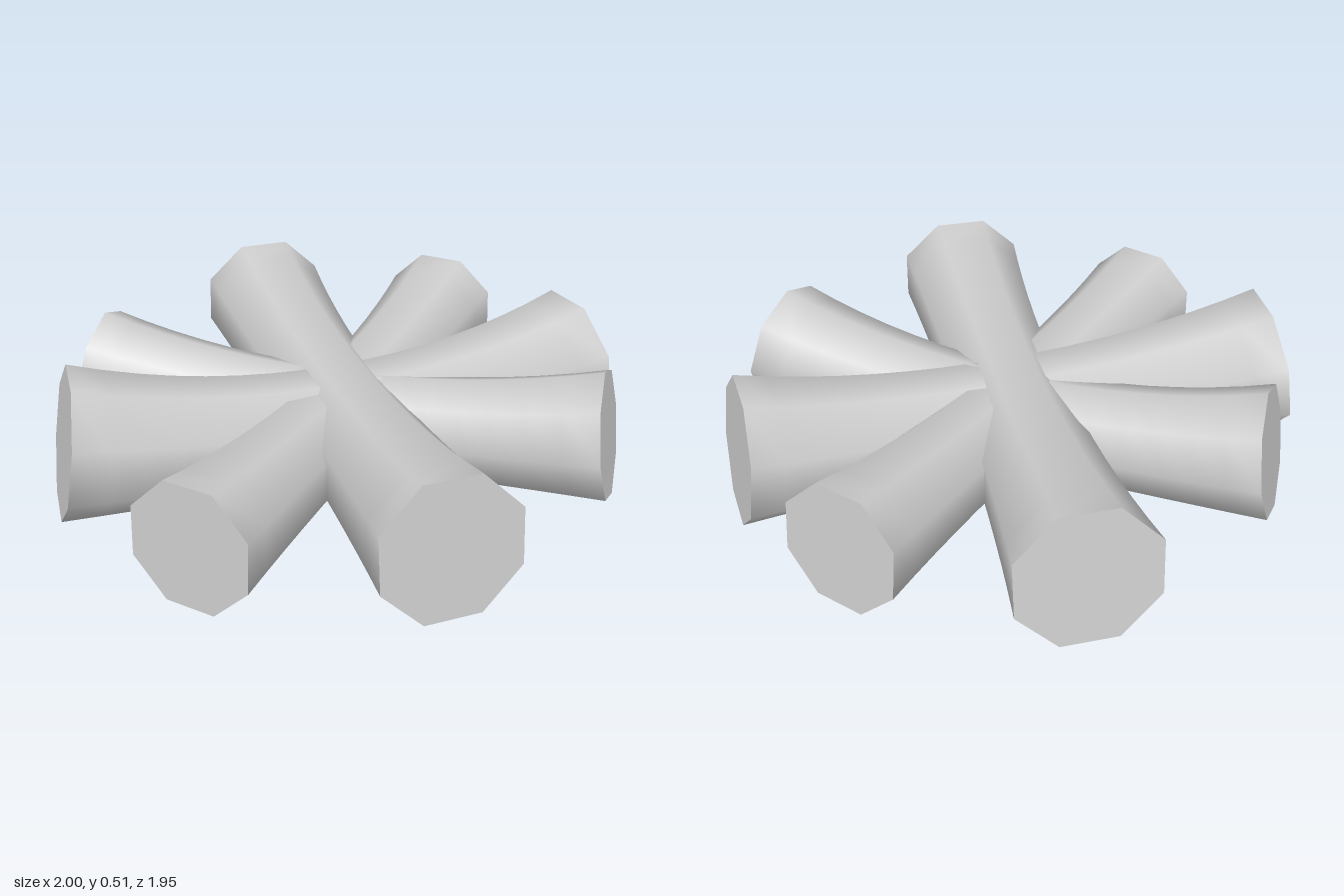
import * as THREE from 'three';
import { mergeVertices } from 'three/addons/utils/BufferGeometryUtils.js';

const SIDES = 8;
const UP = new THREE.Vector3(0, 1, 0);

// An eight-sided log through three points, slimmer in the middle than at its ends
function makeLog(name, from, middle, to, midRadius, endRadius, roll) {
  const a = new THREE.Vector3(...from);
  const m = new THREE.Vector3(...middle);
  const b = new THREE.Vector3(...to);
  const control = m.clone().multiplyScalar(2).addScaledVector(a, -0.5).addScaledVector(b, -0.5);
  const curve = new THREE.QuadraticBezierCurve3(a, control, b);

  let geometry = new THREE.CylinderGeometry(1, 1, 1, SIDES, 16, false, roll);
  geometry.deleteAttribute('uv');
  geometry = mergeVertices(geometry); // closes the seam, keeps the cap edges sharp

  // Bend the straight cylinder along the curve
  const pos = geometry.attributes.position;
  for (let i = 0; i < pos.count; i++) {
    const t = pos.getY(i) + 0.5;
    const flare = Math.pow(Math.abs(2 * t - 1), 2.2);
    const radius = midRadius + (endRadius - midRadius) * flare;
    const tangent = curve.getTangent(t);
    const side = new THREE.Vector3().crossVectors(tangent, UP).normalize();
    const normal = new THREE.Vector3().crossVectors(side, tangent);
    const p = curve.getPoint(t)
      .addScaledVector(side, pos.getX(i) * radius)
      .addScaledVector(normal, pos.getZ(i) * radius);
    pos.setXYZ(i, p.x, p.y, p.z);
  }
  geometry.computeVertexNormals();

  const mesh = new THREE.Mesh(geometry, new THREE.MeshStandardMaterial({ color: 0xcccccc }));
  mesh.name = name;
  return mesh;
}

export function createModel() {
  const group = new THREE.Group();
  group.name = 'crossedLogs';
  const flat = Math.PI / SIDES; // roll that puts a flat side on top

  group.add(
    // Top log, front to back
    makeLog('frontBackLog', [0, 0.255, 0.945], [0, 0.207, 0], [0, 0.285, -0.95], 0.2, 0.243, flat),
    // Bottom log, side to side
    makeLog('sideLog', [-0.955, 0.275, 0.01], [0, 0.183, 0.015], [0.953, 0.242, -0.07], 0.195, 0.257, flat),
    // Two diagonal logs
    makeLog('diagonalLogA', [-0.69, 0.215, 0.63], [0, 0.195, 0.0], [0.68, 0.265, -0.645], 0.172, 0.22, flat),
    makeLog('diagonalLogB', [-0.75, 0.27, -0.51], [0, 0.19, -0.015], [0.75, 0.265, 0.54], 0.172, 0.226, 0)
  );
  return group;
}
